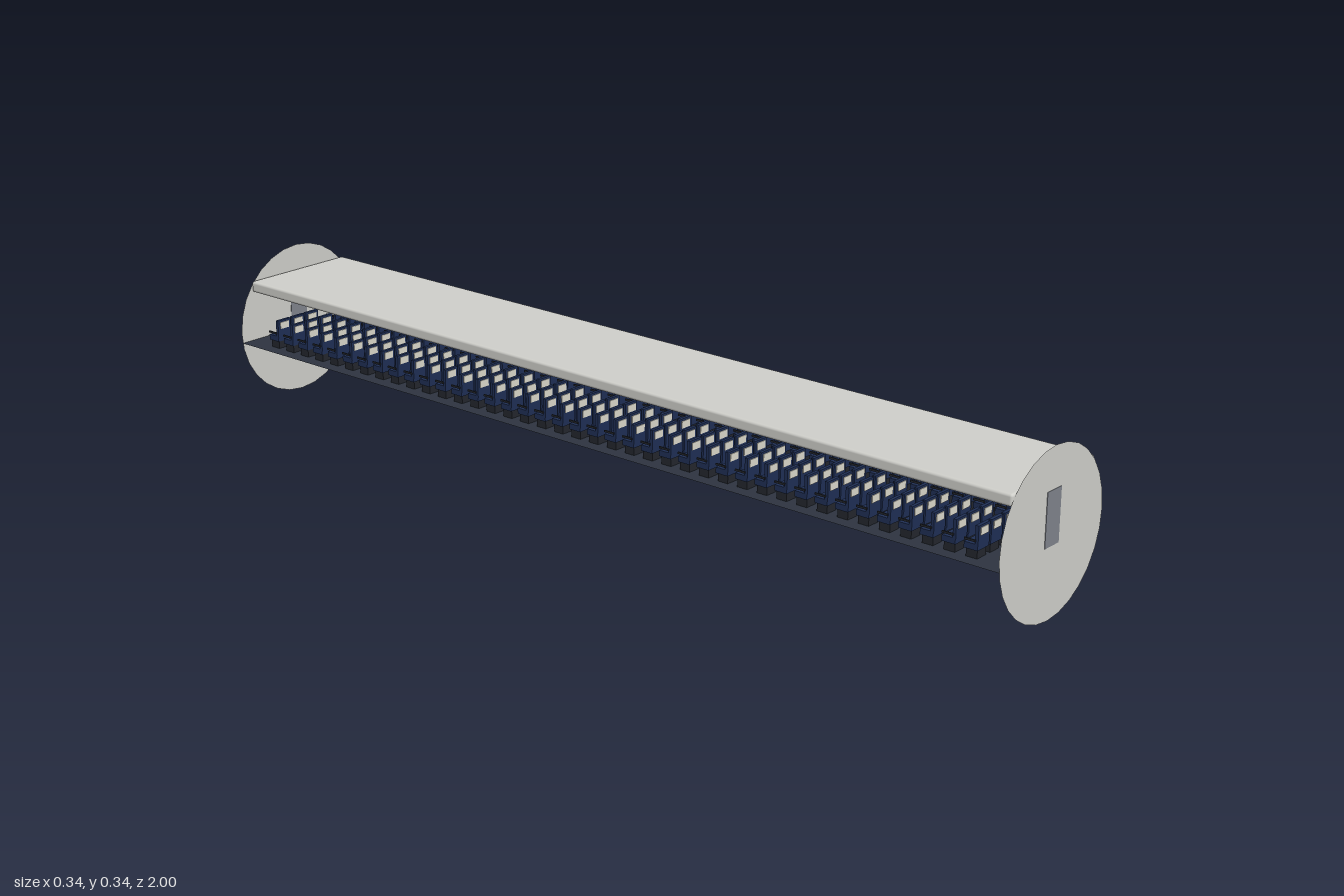
import * as THREE from 'three';
import { mergeGeometries } from 'three/addons/utils/BufferGeometryUtils.js';
import { RoundedBoxGeometry } from 'three/addons/geometries/RoundedBoxGeometry.js';

const RADIUS = 0.17, FLOOR_Y = 0.147, HALF = 1;
const ROWS = 40, PITCH = 0.04726, FIRST_BACK_Z = 0.934;
const SEAT_X = [0.044, 0.085, 0.126];

function material(name, color, side = THREE.FrontSide) {
  const m = new THREE.MeshStandardMaterial({ color, side });
  m.name = name;
  return m;
}

function box(w, h, d, x, y, z) {
  return new THREE.BoxGeometry(w, h, d).translate(x, y, z);
}

export function createModel() {
  const wall = material('pale grey wall', 0xd0d0cb, THREE.DoubleSide);
  const door = material('grey door', 0x7f838c);
  const floorMat = material('dark carpet', 0x2e3440, THREE.DoubleSide);
  const navy = material('navy fabric', 0x1f2f55);
  const dark = material('dark frame', 0x23262d);
  const cream = material('cream cover', 0xdcd9cc);

  const model = new THREE.Group();
  const add = (name, geometry, mat, parent = model) => {
    const mesh = new THREE.Mesh(geometry, mat);
    mesh.name = name;
    parent.add(mesh);
    return mesh;
  };

  // Round end walls, each with a door
  for (const [label, s] of [['front', 1], ['rear', -1]]) {
    const disc = new THREE.CircleGeometry(RADIUS, 28, Math.PI / 2);
    if (s < 0) disc.rotateY(Math.PI);
    add(label + 'EndWall', disc.translate(0, RADIUS, s * (HALF - 0.001)), wall);
    add(label + 'Door', box(0.046, 0.109, 0.002, 0, 0.2015, s * (HALF - 0.001)), door);
  }

  // Floor sheet
  const floor = new THREE.PlaneGeometry(0.337, 2 * HALF - 0.002);
  add('floor', floor.rotateX(-Math.PI / 2).translate(0, FLOOR_Y, 0), floorMat);

  // Ceiling slab with softened edges
  const ceiling = new RoundedBoxGeometry(0.272, 0.025, 2 * HALF - 0.004, 2, 0.006);
  add('ceiling', ceiling.translate(0, 0.2715, 0), wall);

  // Parts of one seat, with its back rest at z = 0 and its cushion towards -z
  const seatParts = {
    seatCushions: [navy, x => [box(0.036, 0.012, 0.029, x, 0.17, -0.012)]],
    seatBacks: [navy, x => [box(0.036, 0.04, 0.007, x, 0.192, 0)]],
    headCovers: [cream, x => [box(0.024, 0.015, 0.002, x, 0.2, 0.004)]],
    seatBases: [dark, x => [box(0.028, 0.017, 0.024, x, 0.1555, -0.012)]],
    armRests: [dark, x => [-1, 1].map(s =>
      box(0.003, 0.004, 0.024, x + s * 0.0195, 0.183, -0.013))],
  };

  // Rows of three seats on both sides of the aisle
  const seats = new THREE.Group();
  seats.name = 'seats';
  model.add(seats);
  for (const [name, [mat, make]] of Object.entries(seatParts)) {
    const row = mergeGeometries(SEAT_X.flatMap(x => [...make(x), ...make(-x)]));
    const rows = [];
    for (let i = 0; i < ROWS; i++) {
      rows.push(row.clone().translate(0, 0, FIRST_BACK_Z - i * PITCH));
    }
    add(name, mergeGeometries(rows), mat, seats);
  }

  return model;
}
